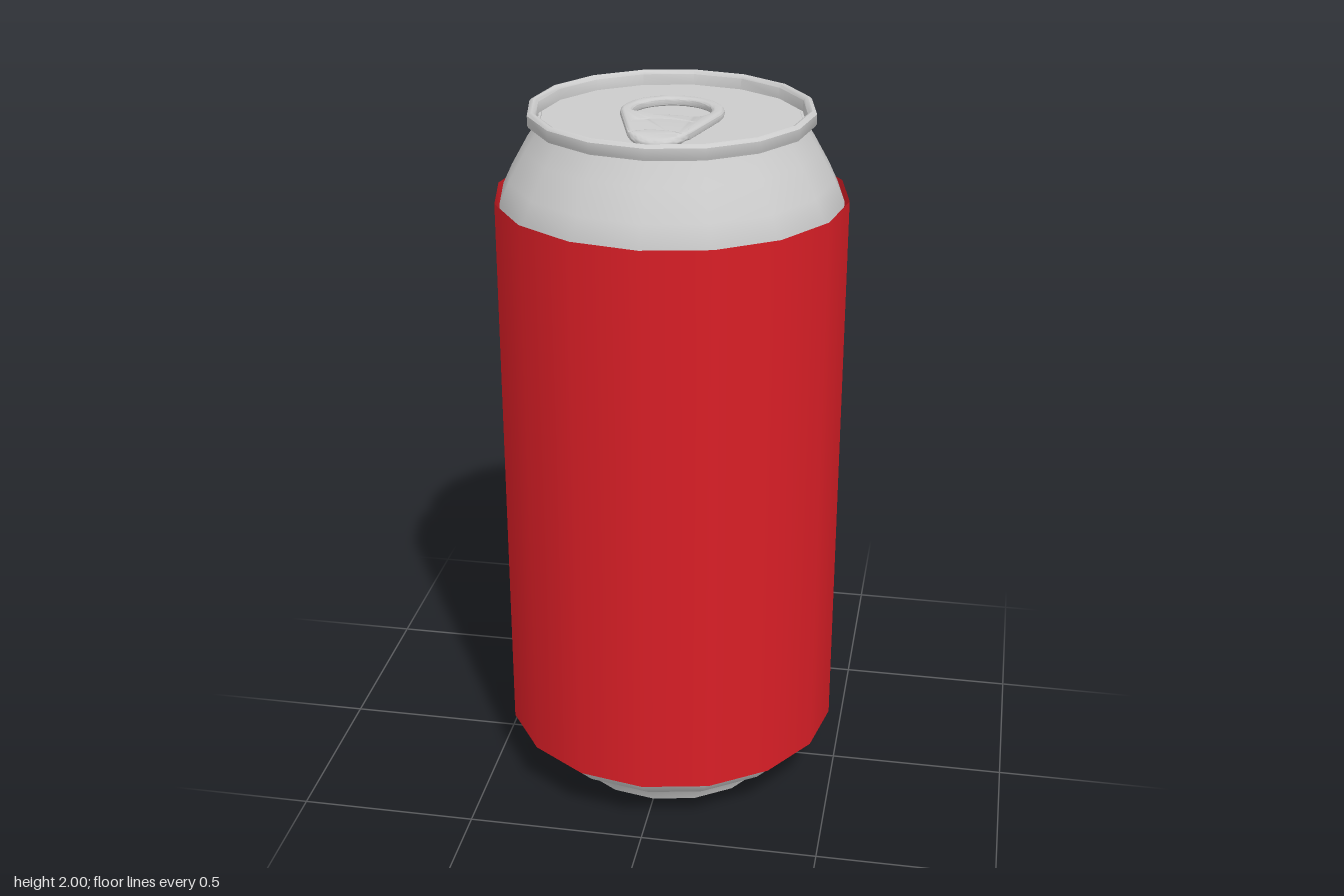
import * as THREE from 'three';
import { toCreasedNormals } from 'three/addons/utils/BufferGeometryUtils.js';

const SIDES = 16;
const LID_Y = 1.96;

function addMesh(group, name, geometry, material) {
  const mesh = new THREE.Mesh(geometry, material);
  mesh.name = name;
  group.add(mesh);
  return mesh;
}

// Turned part: profile of [radius, height] pairs, running outward and up
function turned(profile) {
  const points = profile.map(([r, y]) => new THREE.Vector2(r, y));
  return toCreasedNormals(new THREE.LatheGeometry(points, SIDES), 0.65);
}

// Pull tab drawn in plan (shape y becomes z), with two holes and rounded edges
function tabGeometry() {
  const outline = new THREE.Shape();
  outline.absarc(0, -0.012, 0.139, Math.PI - 0.2, 2 * Math.PI + 0.2, false);
  outline.lineTo(0.084, 0.205);
  outline.absarc(0, 0.168, 0.088, 0.42, Math.PI - 0.42, false);

  const fingerHole = new THREE.Path();
  fingerHole.absarc(0, -0.01, 0.104, Math.PI - 0.35, 2 * Math.PI + 0.35, false);
  fingerHole.quadraticCurveTo(0.085, 0.05, 0.06, 0.05);
  fingerHole.quadraticCurveTo(0, 0.036, -0.06, 0.05);
  fingerHole.quadraticCurveTo(-0.085, 0.05, -0.098, 0.026);

  const noseHole = new THREE.Path();
  noseHole.moveTo(-0.066, 0.205);
  noseHole.quadraticCurveTo(0, 0.17, 0.066, 0.205);
  noseHole.lineTo(0.074, 0.115);
  noseHole.quadraticCurveTo(0.045, 0.097, 0, 0.097);
  noseHole.quadraticCurveTo(-0.045, 0.097, -0.074, 0.115);
  noseHole.closePath();

  outline.holes.push(fingerHole, noseHole);
  const geometry = new THREE.ExtrudeGeometry(outline, {
    depth: 0.004, curveSegments: 10,
    bevelThickness: 0.01, bevelSize: 0.011, bevelOffset: -0.011, bevelSegments: 3,
  });
  geometry.rotateX(Math.PI / 2);

  // Nose slopes down toward the front
  const p = geometry.attributes.position;
  for (let i = 0; i < p.count; i++) {
    const over = Math.max(0, p.getZ(i) - 0.208);
    p.setY(i, p.getY(i) - over * 0.3);
  }
  return toCreasedNormals(geometry, 0.8);
}

export function createModel() {
  const model = new THREE.Group();
  model.name = 'drinkCan';
  const metal = new THREE.MeshStandardMaterial({ color: 0xcccccc });
  const red = new THREE.MeshStandardMaterial({ color: 0xd81e26, side: THREE.DoubleSide });

  // Recessed base, foot, wall and tapered neck
  addMesh(model, 'canBody', turned([
    [0, 0.035], [0.285, 0.035], [0.292, 0], [0.31, 0],
    [0.322, 0.03], [0.338, 0.052], [0.385, 0.076], [0.43, 0.11], [0.466, 0.16],
    [0.466, 1.76], [0.44, 1.815], [0.395, 1.895], [0.362, 1.945], [0.352, 1.965],
  ]), metal);

  // Rolled lip around the top
  addMesh(model, 'rim', turned([
    [0.35, 1.96], [0.383, 1.96], [0.386, 1.966], [0.386, 1.992],
    [0.381, 1.998], [0.374, 2], [0.367, 1.997], [0.362, 1.99], [0.361, LID_Y],
  ]), metal);

  // Flat sunken lid
  addMesh(model, 'lid', turned([[0.363, LID_Y], [0, LID_Y]]), metal);

  // Thin coloured wrap, open at both ends
  const sleeve = addMesh(model, 'sleeve',
    new THREE.CylinderGeometry(0.48, 0.48, 1.6, SIDES, 1, true), red);
  sleeve.position.y = 0.96;

  const tab = addMesh(model, 'pullTab', tabGeometry(), metal);
  tab.position.y = LID_Y + 0.017;

  return model;
}
